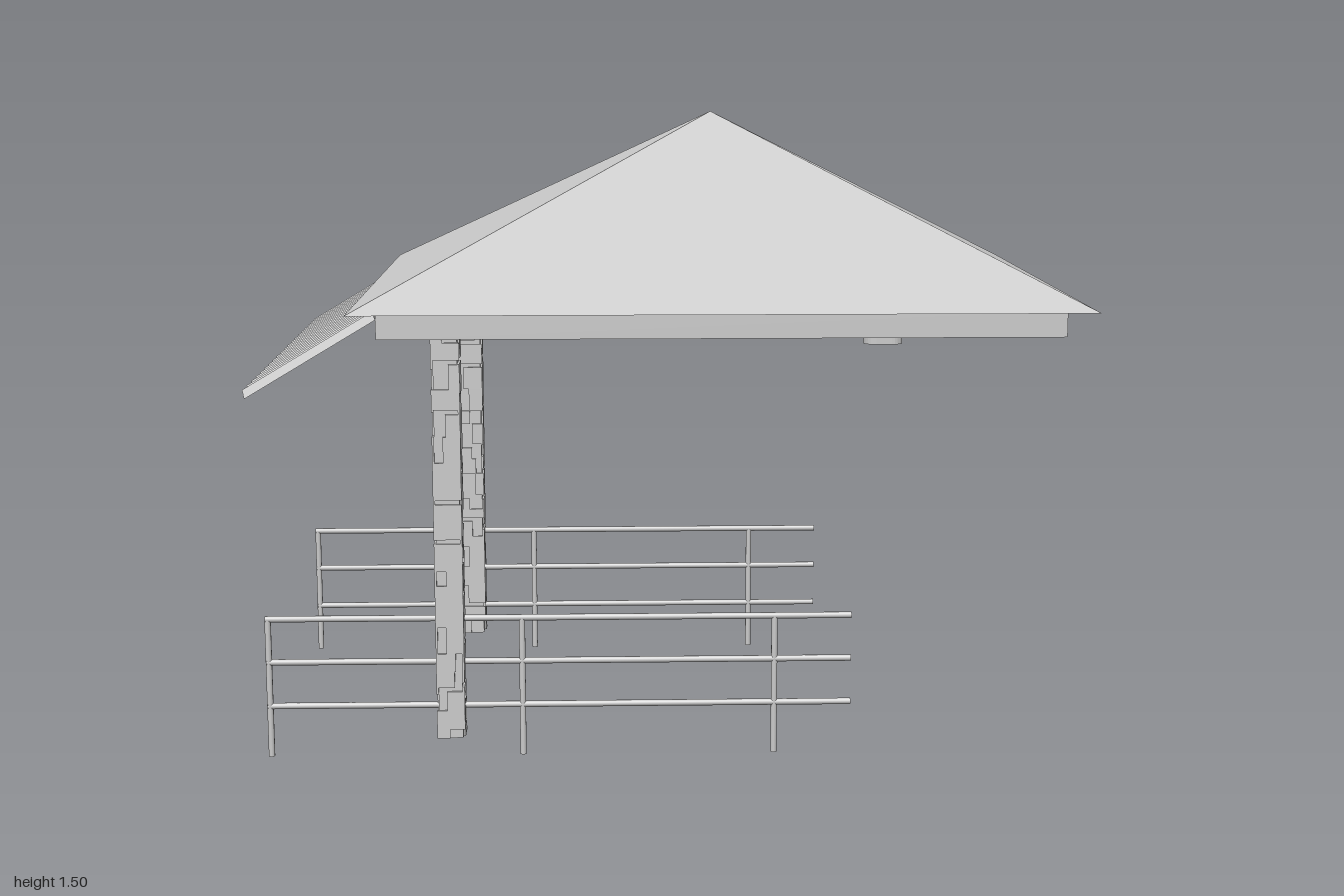
import * as THREE from 'three';

export function createModel() {
  const model = new THREE.Group();
  model.name = 'pavilion';
  const body = new THREE.Group();
  body.name = 'pavilionBody';
  body.position.x = 0.115;
  body.rotation.y = -0.084; // the whole shelter stands slightly turned
  model.add(body);

  const flat = new THREE.MeshStandardMaterial({ color: 0xcccccc, flatShading: true });
  const smooth = new THREE.MeshStandardMaterial({ color: 0xcccccc });
  const sheet = new THREE.MeshStandardMaterial({ color: 0xcccccc, flatShading: true, side: THREE.DoubleSide });

  function add(parent, name, geometry, x, y, z, material = flat) {
    const mesh = new THREE.Mesh(geometry, material);
    mesh.name = name;
    mesh.position.set(x, y, z);
    parent.add(mesh);
    return mesh;
  }
  function group(name, x = 0, y = 0, z = 0) {
    const g = new THREE.Group();
    g.name = name;
    g.position.set(x, y, z);
    body.add(g);
    return g;
  }
  let seed = 7;
  const random = () => (seed = (seed * 16807) % 2147483647) / 2147483647;

  // Pyramid roof and the shallow box under its eaves
  const roof = new THREE.ConeGeometry(Math.SQRT2, 0.42, 4).rotateY(Math.PI / 4).scale(0.833, 1, 0.657);
  add(body, 'roof', roof, 0, 1.29, 0);
  add(body, 'ceilingBox', new THREE.BoxGeometry(1.54, 0.06, 1.21), 0, 1.05, 0);

  // Corrugated awning: a folded sheet sloping down from the ceiling box
  const folds = 40;
  const awning = new THREE.PlaneGeometry(0.341, 1.255, 1, folds).rotateX(-Math.PI / 2);
  const pos = awning.attributes.position;
  for (let i = 0; i < pos.count; i++) {
    pos.setY(i, Math.floor(i / 2) % 2 ? 0.009 : -0.009);
  }
  awning.rotateZ(Math.atan2(0.175, 0.293));
  add(body, 'corrugatedAwning', awning, -0.919, 0.987, -0.005, sheet);

  // Stone columns: a core with uneven courses of stones on all four faces
  function addColumn(name, z) {
    const column = group(name, -0.629, 0, z);
    const core = 0.056, depth = 0.005;
    add(column, 'columnCore', new THREE.BoxGeometry(core, 0.97, core), 0, 0.535, 0);
    for (let face = 0; face < 4; face++) {
      const side = new THREE.Group();
      side.name = 'stoneFace';
      side.rotation.y = face * Math.PI / 2;
      column.add(side);
      let y = 0.05;
      while (y < 1.0) {
        const h = Math.min(0.022 + random() * 0.045, 1.02 - y);
        const width = random() < 0.45 ? core + depth * 2 : 0.022 + random() * 0.03;
        const end = random() < 0.5 ? -1 : 1;
        const x = end * (core / 2 + depth - width / 2);
        add(side, 'stone', new THREE.BoxGeometry(width, h, depth), x, y + h / 2, core / 2 + depth / 2);
        y += h + (random() < 0.3 ? 0.01 : 0);
      }
    }
  }

  // Railings: three rails on three posts
  function addRailing(name, z) {
    const railing = group(name, 0, 0, z);
    for (const x of [-1.057, -0.461, 0.135]) {
      add(railing, 'railingPost', new THREE.CylinderGeometry(0.0075, 0.0075, 0.335, 10), x, 0.1675, 0, smooth);
    }
    for (const y of [0.123, 0.23, 0.335]) {
      const rail = new THREE.CylinderGeometry(0.0075, 0.0075, 1.38, 10).rotateZ(Math.PI / 2);
      add(railing, 'rail', rail, -0.373, y, 0, smooth);
    }
  }

  addColumn('frontColumn', 0.432);
  addColumn('backColumn', -0.462);
  addRailing('frontRailing', 0.432);
  addRailing('backRailing', -0.464);

  // Ceiling lights: round-ended plates on a common bar
  function plate(length, width, height) {
    const r = width / 2, s = length / 2 - r;
    const shape = new THREE.Shape();
    shape.absarc(s, 0, r, -Math.PI / 2, Math.PI / 2);
    shape.absarc(-s, 0, r, Math.PI / 2, Math.PI * 1.5);
    return new THREE.ExtrudeGeometry(shape, { depth: height, bevelEnabled: false, curveSegments: 6 })
      .rotateX(-Math.PI / 2);
  }
  const lights = group('ceilingLights');
  add(lights, 'lightBar', new THREE.BoxGeometry(0.022, 0.015, 0.9), 0.325, 1.0125, 0);
  for (const z of [-0.44, 0, 0.44]) {
    add(lights, 'lightPlate', plate(0.25, 0.07, 0.016), 0.42, 1.004, z);
    add(lights, 'lightHead', plate(0.09, 0.055, 0.02), 0.378, 0.985, z);
  }

  return model;
}
